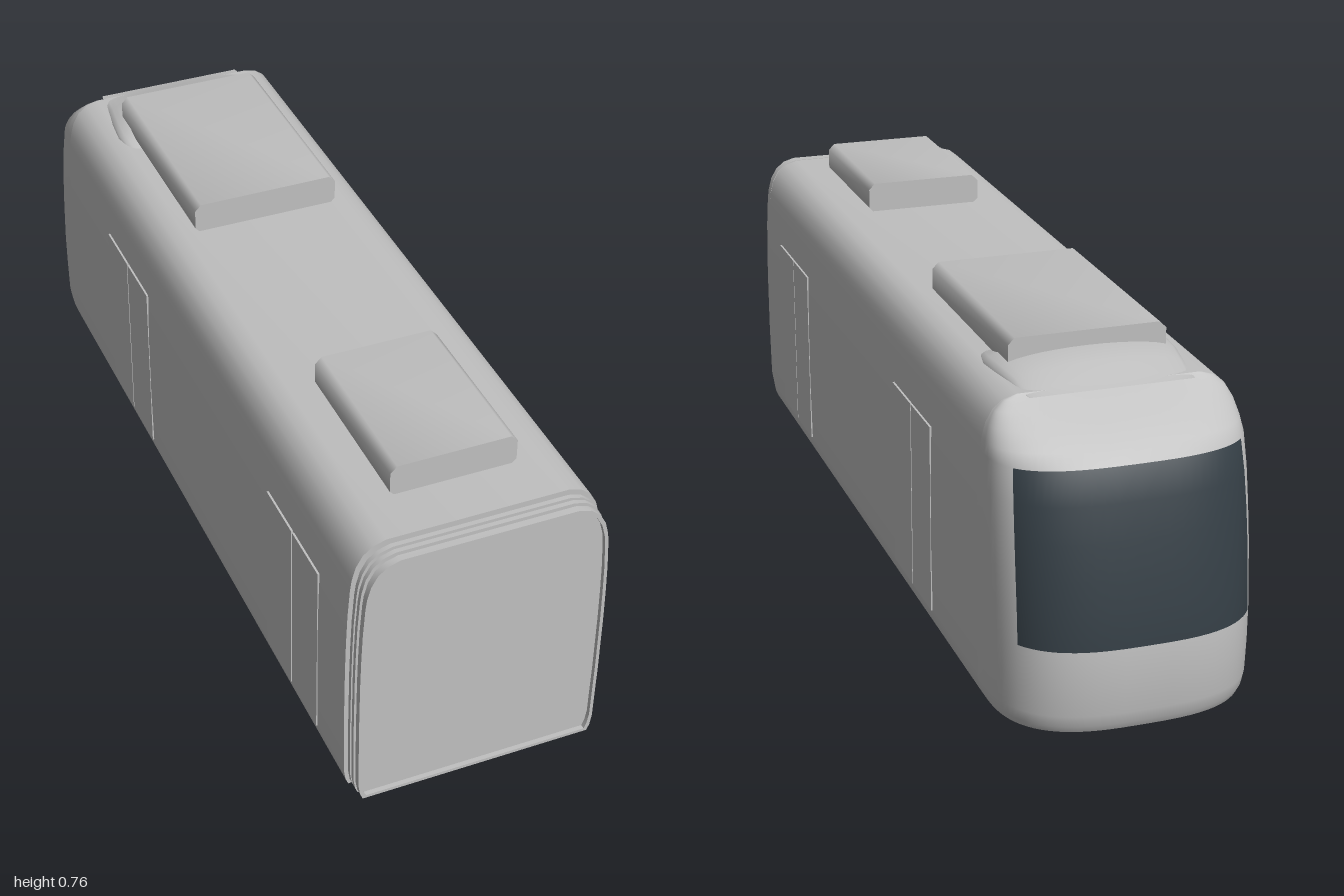
import * as THREE from 'three';
import { toCreasedNormals } from 'three/addons/utils/BufferGeometryUtils.js';

// Half-width of the body and z of the nose tip at rising heights: [y, halfWidth, noseZ]
const PROFILE = [
  [0.06, 0.258, -0.98], [0.075, 0.264, -0.988], [0.1, 0.268, -0.994], [0.17, 0.269, -1],
  [0.24, 0.27, -0.998], [0.31, 0.27, -0.989], [0.38, 0.27, -0.977], [0.45, 0.269, -0.962],
  [0.52, 0.267, -0.944], [0.585, 0.263, -0.921], [0.61, 0.26, -0.89], [0.64, 0.252, -0.845],
  [0.665, 0.238, -0.803], [0.682, 0.217, -0.775], [0.69, 0.19, -0.76],
];
const NOSE_START = -0.76;

export function createModel() {
  const bodyPaint = new THREE.MeshStandardMaterial({ color: 0xc0c0c0 });
  bodyPaint.name = 'bodyGrey';
  const glass = new THREE.MeshStandardMaterial({ color: 0x343e45 });
  glass.name = 'darkGlass';

  const model = new THREE.Group();
  model.name = 'railCar';

  function add(name, geometry, material = bodyPaint, x = 0, y = 0, z = 0) {
    const mesh = new THREE.Mesh(geometry, material);
    mesh.name = name;
    mesh.position.set(x, y, z);
    model.add(mesh);
    return mesh;
  }

  // Outline of the body section, shrunk by an inset
  function sectionPoints(inset) {
    const sx = 1 - inset / 0.27, sy = 1 - inset / 0.315;
    const right = PROFILE.map(([y, w]) => new THREE.Vector2(w * sx, 0.375 + (y - 0.375) * sy));
    const left = right.map((p) => new THREE.Vector2(-p.x, p.y)).reverse();
    return [...right, ...left];
  }

  function extrudeSection(inset, depth, holeInset) {
    const shape = new THREE.Shape(sectionPoints(inset));
    if (holeInset) shape.holes.push(new THREE.Path(sectionPoints(holeInset)));
    const geo = new THREE.ExtrudeGeometry(shape, { depth, bevelEnabled: false });
    return toCreasedNormals(geo, 0.7);
  }

  // Indexed surface from point rows; isSecond picks the quads of the second material
  function loft(rows, isSecond = () => false) {
    const n = rows[0].length;
    const lists = [[], []];
    for (let j = 0; j < rows.length - 1; j++) {
      for (let i = 0; i < n - 1; i++) {
        const a = j * n + i, d = a + n;
        lists[isSecond(j, i) ? 1 : 0].push(a, a + 1, d + 1, a, d + 1, d);
      }
    }
    const geo = new THREE.BufferGeometry();
    geo.setAttribute('position', new THREE.Float32BufferAttribute(rows.flat(2), 3));
    geo.setIndex([...lists[0], ...lists[1]]);
    geo.addGroup(0, lists[0].length, 0);
    geo.addGroup(lists[0].length, lists[1].length, 1);
    geo.computeVertexNormals();
    return geo;
  }

  // Main body tube
  add('body', extrudeSection(0, 0.945 - NOSE_START), bodyPaint, 0, 0, NOSE_START);

  // Nose: rounded plan outlines stacked upward, with the windscreen as a face group
  const angles = [];
  for (let i = 0; i < 8; i++) angles.push((33 * i) / 8);
  for (let i = 0; i <= 24; i++) angles.push(33 + (114 * i) / 24);
  for (let i = 1; i <= 8; i++) angles.push(147 + (33 * i) / 8);
  const round = (v) => Math.sign(v) * Math.pow(Math.abs(v), 0.69);
  const noseRows = PROFILE.map(([y, w, tip]) => angles.map((deg) => {
    const t = THREE.MathUtils.degToRad(deg);
    const s = deg === 180 ? 0 : Math.sin(t);
    return [w * round(Math.cos(t)), y, NOSE_START + (tip - NOSE_START) * round(s)];
  }));
  const inGlass = (j, i) => j >= 4 && j < 9 && i >= 8 && i < 32;
  add('noseAndWindscreen', loft(noseRows, inGlass), [bodyPaint, glass]);

  // Floor of the nose, facing down
  const floor = new THREE.Shape(noseRows[0].map(([x, , z]) => new THREE.Vector2(x, z)));
  add('noseFloor', new THREE.ShapeGeometry(floor).rotateX(Math.PI / 2), bodyPaint, 0, 0.06, 0);

  // Gangway: ribbed bellows, open end frame and recessed end panel
  add('gangwayCore', extrudeSection(0.014, 0.05), bodyPaint, 0, 0, 0.94);
  [0.952, 0.969].forEach((z) => add('gangwayRib', extrudeSection(0.006, 0.01), bodyPaint, 0, 0, z));
  add('gangwayEndFrame', extrudeSection(0.008, 0.015, 0.015), bodyPaint, 0, 0, 0.985);

  // Roof units with chamfered corners
  function roofUnit(name, halfWidth, zBack, zFront) {
    const y0 = 0.685, y1 = 0.757, c = 0.014;
    const half = [[halfWidth - c, y0], [halfWidth, y0 + c], [halfWidth, y1 - c], [halfWidth - c, y1]];
    const outline = [...half, ...half.map(([x, y]) => [-x, y]).reverse()];
    const shape = new THREE.Shape(outline.map(([x, y]) => new THREE.Vector2(x, y)));
    const geo = new THREE.ExtrudeGeometry(shape, { depth: zFront - zBack, bevelEnabled: false });
    add(name, toCreasedNormals(geo, 0.9), bodyPaint, 0, 0, zBack);
  }
  roofUnit('largeRoofUnit', 0.166, -0.64, -0.145);
  roofUnit('smallRoofUnit', 0.134, 0.462, 0.832);

  // Low fairing leading up to the large roof unit: [z, halfWidth, height]
  const fairing = [
    [-0.78, 0.17, 0], [-0.75, 0.175, 0.008], [-0.7, 0.182, 0.027], [-0.64, 0.192, 0.039],
    [-0.58, 0.197, 0.036], [-0.545, 0.192, 0.022], [-0.52, 0.182, 0.01], [-0.5, 0.165, 0],
  ];
  const fairingRows = fairing.map(([z, w, h]) => Array.from({ length: 19 }, (_, i) => {
    const t = (Math.PI * i) / 18;
    return [w * Math.cos(t), 0.686 + h * Math.pow(Math.max(Math.sin(t), 0), 0.8), z];
  }));
  add('roofFairing', loft(fairingRows));

  // Two-leaf doors on both sides
  for (const side of [-1, 1]) {
    for (const z of [0.675, -0.325]) {
      for (const leaf of [-1, 1]) {
        add('doorLeaf', new THREE.BoxGeometry(0.006, 0.415, 0.132), bodyPaint,
          side * 0.2685, 0.3075, z + leaf * 0.068);
      }
    }
  }

  // Bogie: two axles with a wheel at each end
  add('bogiePlate', new THREE.BoxGeometry(0.28, 0.01, 0.36), bodyPaint, 0, 0.062, 0.175);
  for (const z of [0.36, -0.01]) {
    const axle = new THREE.CylinderGeometry(0.01, 0.01, 0.3, 12).rotateZ(Math.PI / 2);
    add('axle', axle, bodyPaint, 0, 0.065, z);
    for (const side of [-1, 1]) {
      const tread = new THREE.CylinderGeometry(0.06, 0.06, 0.024, 32).rotateZ(Math.PI / 2);
      add('wheel', tread, bodyPaint, side * 0.156, 0.065, z);
      const flange = new THREE.CylinderGeometry(0.065, 0.065, 0.006, 32).rotateZ(Math.PI / 2);
      add('wheelFlange', flange, bodyPaint, side * 0.15, 0.065, z);
    }
  }
  return model;
}
